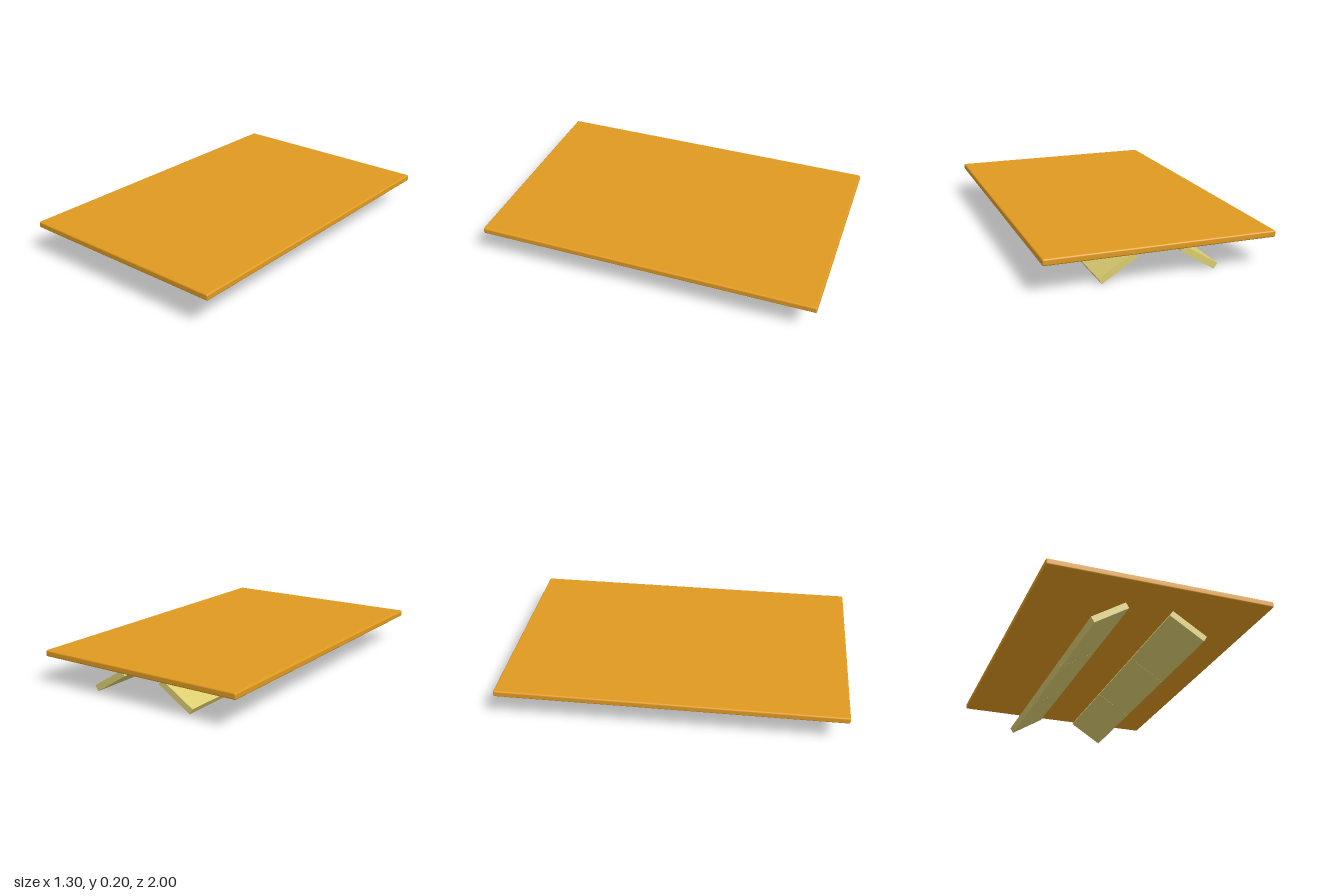
import * as THREE from 'three';
import { RoundedBoxGeometry } from 'three/addons/geometries/RoundedBoxGeometry.js';

export function createModel() {
  const model = new THREE.Group();
  model.name = 'slabOnSlantedPlanks';
  const slabMaterial = new THREE.MeshStandardMaterial({ color: 0xe09a20 });
  const plankMaterial = new THREE.MeshStandardMaterial({ color: 0xdccd70 });

  // Flat top board with softened edges
  const slab = new THREE.Mesh(new RoundedBoxGeometry(1.3, 0.037, 2, 3, 0.009), slabMaterial);
  slab.name = 'topBoard';
  slab.position.y = 0.1815;
  model.add(slab);

  // Two mirrored rows of three slanted planks, laid end to end
  const plankLength = 0.575;
  const plankGeometry = new THREE.BoxGeometry(0.235, 0.037, plankLength - 0.001);
  const tilt = THREE.MathUtils.degToRad(32);
  for (const side of [1, -1]) {
    const row = new THREE.Group();
    row.name = side > 0 ? 'leftPlankRow' : 'rightPlankRow';
    row.position.set(side * 0.229, 0.078, -0.073);
    row.rotation.z = -side * tilt;
    for (let i = -1; i <= 1; i++) {
      const plank = new THREE.Mesh(plankGeometry, plankMaterial);
      plank.name = 'plank';
      plank.position.z = i * plankLength;
      row.add(plank);
    }
    model.add(row);
  }
  return model;
}
